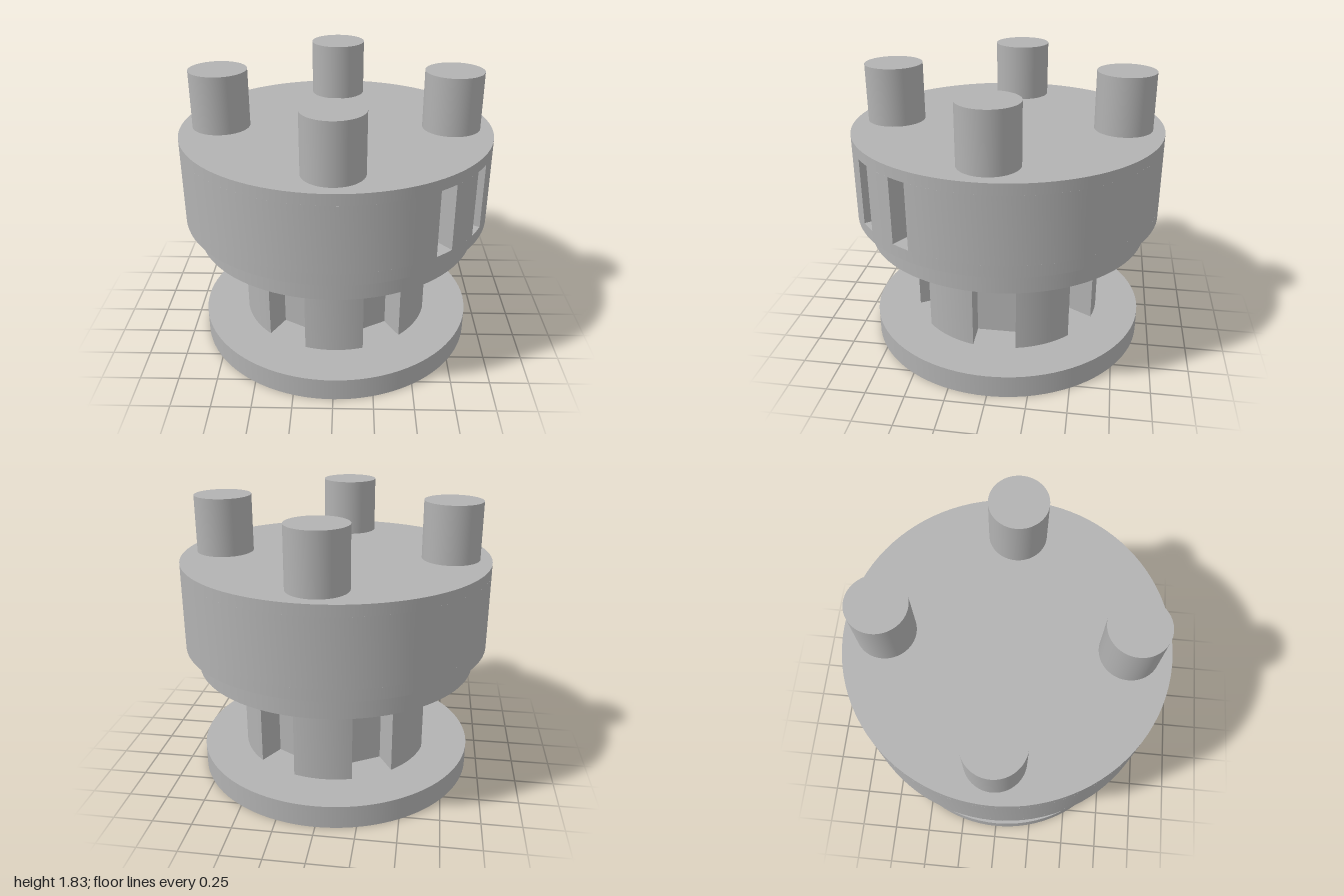
import * as THREE from 'three';
import { toCreasedNormals } from 'three/addons/utils/BufferGeometryUtils.js';

const deg = Math.PI / 180;

// Upright cylinder between two heights
function disc(name, material, radius, y0, y1, x = 0, z = 0) {
  const mesh = new THREE.Mesh(new THREE.CylinderGeometry(radius, radius, y1 - y0, 96), material);
  mesh.name = name;
  mesh.position.set(x, (y0 + y1) / 2, z);
  return mesh;
}

// Disc with parallel-walled radial slots; angles run from +z towards +x
function slottedDisc(name, material, radius, y0, y1, angles, halfWidth, floor) {
  const at = (a, out, side) => new THREE.Vector2(
    out * Math.sin(a) + side * Math.cos(a),
    -(out * Math.cos(a) - side * Math.sin(a)));
  const half = Math.asin(halfWidth / radius);
  const points = [];
  angles.forEach((a, i) => {
    // slot floor
    points.push(at(a, floor, -halfWidth), at(a, floor, halfWidth));
    // rim up to the next slot
    const next = i + 1 < angles.length ? angles[i + 1] : angles[0] + 2 * Math.PI;
    const start = a + half, end = next - half;
    const steps = Math.max(4, Math.ceil((end - start) / (3 * deg)));
    for (let k = 0; k <= steps; k++) points.push(at(start + (end - start) * k / steps, radius, 0));
  });
  let geometry = new THREE.ExtrudeGeometry(new THREE.Shape(points), { depth: y1 - y0, bevelEnabled: false });
  geometry.rotateX(-Math.PI / 2);
  geometry = toCreasedNormals(geometry, 30 * deg);
  const mesh = new THREE.Mesh(geometry, material);
  mesh.name = name;
  mesh.position.y = y0;
  return mesh;
}

export function createModel() {
  const model = new THREE.Group();
  model.name = 'slottedHub';
  const grey = new THREE.MeshStandardMaterial({ color: 0xb2b2b2 });
  grey.name = 'plain grey';

  // Base plate, six-slot core and flange
  model.add(disc('basePlate', grey, 0.92, 0, 0.15));
  const coreSlots = Array.from({ length: 6 }, (_, i) => (30 + 60 * i) * deg);
  model.add(slottedDisc('slottedCore', grey, 0.63, 0.15, 0.745, coreSlots, 0.139, 0.44));
  model.add(disc('flange', grey, 0.92, 0.745, 0.895));

  // Drum with two shallow pockets in its wall
  model.add(disc('drumBottom', grey, 1, 0.895, 0.97));
  model.add(slottedDisc('drumPocketBand', grey, 1, 0.97, 1.39, [40 * deg, 60 * deg], 0.063, 0.88));
  model.add(disc('drumTop', grey, 1, 1.39, 1.46));

  // Four pegs on top
  for (let i = 0; i < 4; i++) {
    const a = i * 90 * deg;
    model.add(disc('peg', grey, 0.185, 1.46, 1.83, 0.74 * Math.sin(a), 0.74 * Math.cos(a)));
  }
  return model;
}
